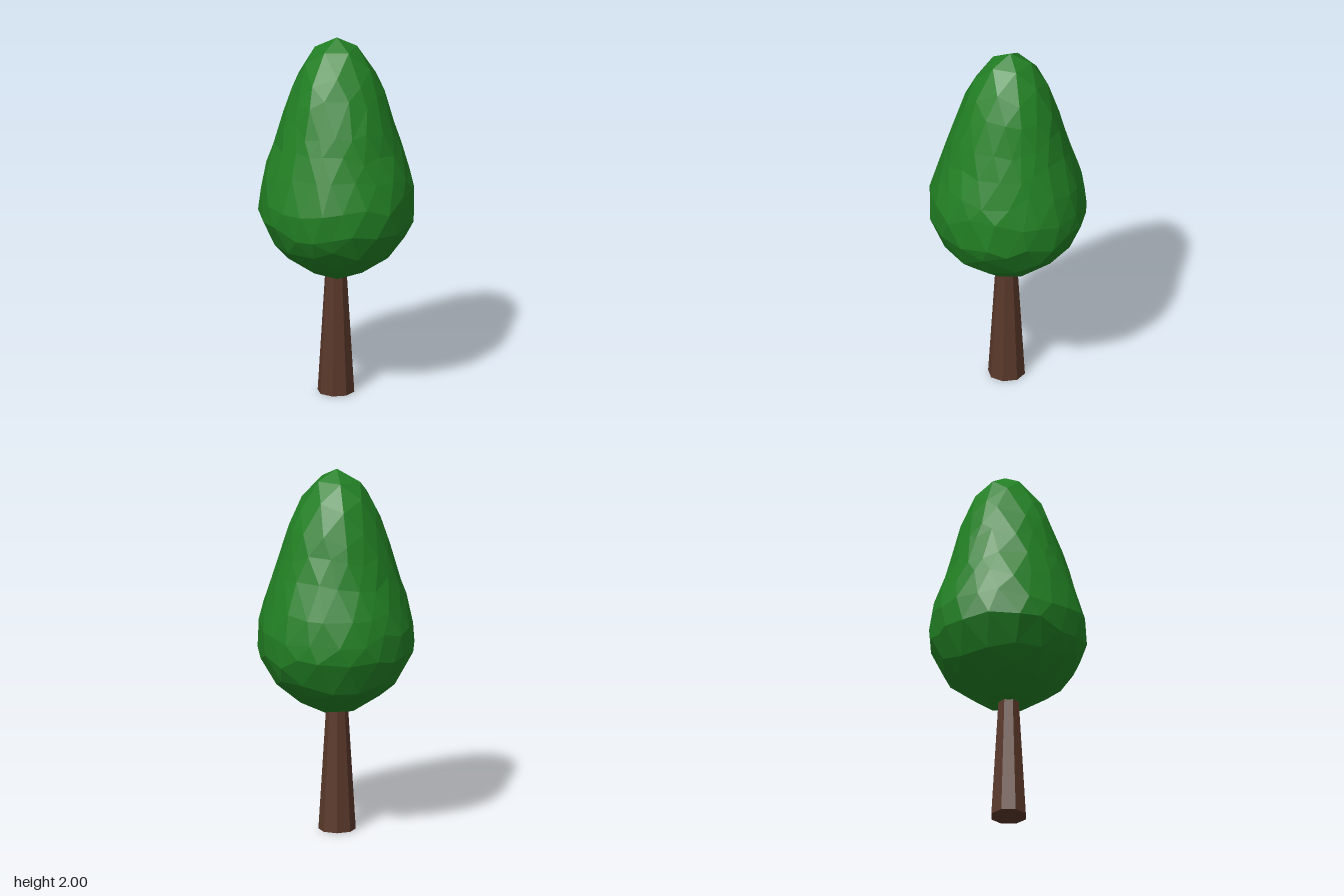
import * as THREE from 'three';

// Crown outline from tip to underside: radius, height
const outline = [
  [0, 2.0], [0.055, 1.993], [0.145, 1.915], [0.21, 1.8], [0.262, 1.67], [0.34, 1.4],
  [0.41, 1.2], [0.43, 1.06], [0.41, 0.96], [0.345, 0.84], [0.22, 0.73], [0.1, 0.66], [0, 0.652],
];

function mesh(name, geometry, color) {
  const m = new THREE.Mesh(geometry, new THREE.MeshStandardMaterial({ color, flatShading: true }));
  m.name = name;
  return m;
}

// Icosphere wrapped onto the outline, its vertices nudged for irregular facets
function crownGeometry() {
  const path = new THREE.CurvePath();
  for (let i = 1; i < outline.length; i++) {
    path.add(new THREE.LineCurve(new THREE.Vector2(...outline[i - 1]), new THREE.Vector2(...outline[i])));
  }
  const geo = new THREE.IcosahedronGeometry(1, 3);
  geo.rotateZ(-Math.atan(2 / (1 + Math.sqrt(5)))); // one vertex at the tip
  const pos = geo.attributes.position;
  const v = new THREE.Vector3();
  for (let i = 0; i < pos.count; i++) {
    v.fromBufferAttribute(pos, i).normalize();
    const sway = 1 - v.y ** 8; // poles stay put
    const { x, y, z } = v;
    const polar = Math.acos(THREE.MathUtils.clamp(y, -1, 1))
      + 0.06 * sway * Math.sin(17 * x + 11 * z + 7 * y);
    const turn = Math.atan2(z, x) + 0.07 * sway * Math.sin(13 * y - 19 * x + 9 * z);
    const u = THREE.MathUtils.clamp(polar / Math.PI, 0, 1);
    const p = path.getPointAt(u);
    const r = p.x * (1 + 0.012 * Math.sin(23 * x - 15 * z + 5 * y));
    // the tip leans slightly to the back
    const lean = -0.015 * THREE.MathUtils.smoothstep(p.y, 1.5, 2);
    pos.setXYZ(i, r * Math.cos(turn), p.y, r * Math.sin(turn) + lean);
  }
  geo.computeVertexNormals();
  return geo;
}

export function createModel() {
  const tree = new THREE.Group();
  tree.name = 'tree';

  // Tapered eight-sided trunk reaching into the crown
  const trunk = mesh('trunk', new THREE.CylinderGeometry(0.048, 0.1, 0.85, 8), 0x5a382a);
  trunk.position.set(-0.01, 0.425, 0.003);
  trunk.rotation.y = 0.3;

  const crown = mesh('crown', crownGeometry(), 0x228024);
  tree.add(trunk, crown);
  return tree;
}
